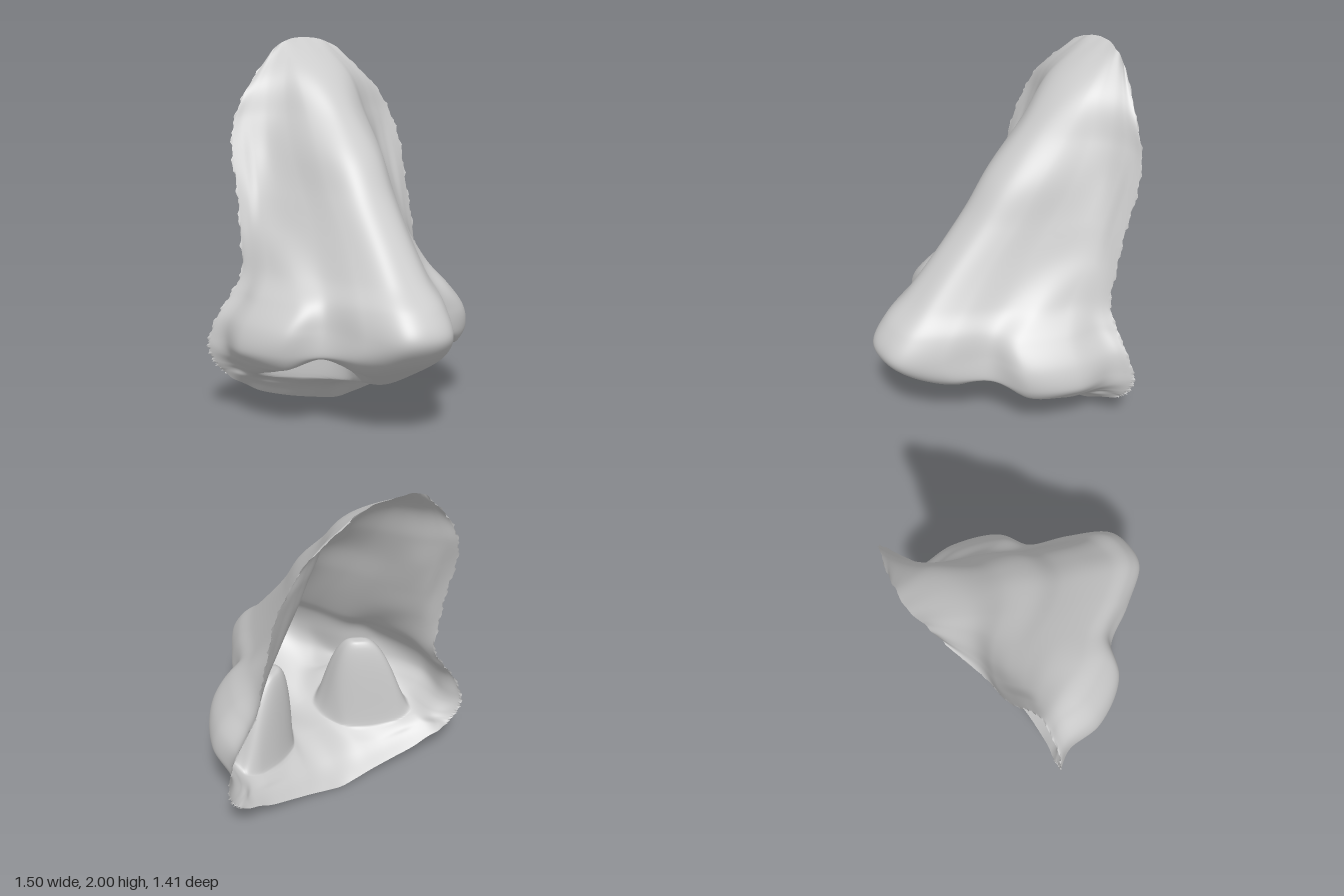
import * as THREE from 'three';

// Upper cross-sections, top to bottom: [y at ridge, drop towards the edge, eight x, eight z]
const bridge = [
  [2.0, 0.08, 0, 0.04, 0.08, 0.11, 0.14, 0.17, 0.2, 0.22, -0.7, -0.7, -0.69, -0.68, -0.68, -0.67, -0.66, -0.66],
  [1.82, 0.09, 0, 0.08, 0.15, 0.21, 0.27, 0.32, 0.36, 0.4, -0.42, -0.43, -0.46, -0.51, -0.55, -0.57, -0.58, -0.59],
  [1.6, 0.03, 0, 0.08, 0.17, 0.25, 0.32, 0.39, 0.44, 0.49, -0.2, -0.22, -0.3, -0.42, -0.49, -0.53, -0.55, -0.56],
  [1.4, 0, 0, 0.1, 0.19, 0.27, 0.34, 0.41, 0.47, 0.53, 0, -0.03, -0.14, -0.31, -0.42, -0.47, -0.49, -0.51],
  [1.2, 0, 0, 0.1, 0.19, 0.27, 0.35, 0.42, 0.48, 0.53, 0.15, 0.12, 0, -0.17, -0.31, -0.39, -0.42, -0.45],
  [1.0, 0, 0, 0.1, 0.19, 0.28, 0.37, 0.44, 0.49, 0.54, 0.33, 0.3, 0.17, -0.02, -0.19, -0.3, -0.36, -0.4],
];
// Tip and wings, same layout
const tip = [
  [0.82, 0.03, 0, 0.11, 0.21, 0.3, 0.41, 0.47, 0.51, 0.55, 0.5, 0.47, 0.32, 0.13, -0.01, -0.17, -0.29, -0.36],
  [0.7, 0.04, 0, 0.13, 0.24, 0.33, 0.46, 0.56, 0.57, 0.62, 0.64, 0.6, 0.43, 0.24, 0.14, -0.09, -0.27, -0.36],
  [0.57, 0.03, 0, 0.14, 0.25, 0.35, 0.54, 0.65, 0.66, 0.7, 0.71, 0.67, 0.49, 0.27, 0.17, -0.07, -0.28, -0.37],
  [0.45, 0.03, 0, 0.14, 0.26, 0.37, 0.57, 0.68, 0.68, 0.74, 0.63, 0.59, 0.46, 0.27, 0.15, -0.07, -0.28, -0.39],
];
// Underside, from the tip back to the lip, as x, y, z triples
const underside = [
  [0, 0.34, 0.46, 0.12, 0.34, 0.43, 0.22, 0.36, 0.37, 0.35, 0.42, 0.24, 0.53, 0.36, 0.13, 0.64, 0.36, -0.08, 0.665, 0.35, -0.27, 0.74, 0.36, -0.39],
  [0, 0.23, 0.25, 0.1, 0.26, 0.25, 0.22, 0.35, 0.24, 0.35, 0.4, 0.17, 0.5, 0.34, 0.08, 0.58, 0.3, -0.08, 0.62, 0.29, -0.27, 0.72, 0.3, -0.38],
  [0, 0.2, 0.02, 0.1, 0.2, 0.02, 0.18, 0.2, -0.06, 0.3, 0.2, -0.13, 0.44, 0.22, -0.18, 0.54, 0.24, -0.21, 0.61, 0.26, -0.3, 0.69, 0.26, -0.37],
  [0, 0.13, -0.16, 0.1, 0.13, -0.16, 0.19, 0.13, -0.19, 0.31, 0.14, -0.22, 0.45, 0.17, -0.25, 0.56, 0.21, -0.28, 0.62, 0.23, -0.33, 0.67, 0.24, -0.37],
  [0, 0.005, -0.28, 0.1, 0.02, -0.28, 0.2, 0.04, -0.28, 0.33, 0.07, -0.29, 0.46, 0.11, -0.31, 0.55, 0.16, -0.33, 0.61, 0.19, -0.35, 0.65, 0.22, -0.36],
];
const OUTER_RIM = bridge.length + tip.length + 1; // the nostrils open between this row and the next
const HALF = 7, COLS = 168;

const smoothCurve = (pts) => new THREE.CatmullRomCurve3(pts, false, 'catmullrom', 0.5);

// Mirrors half a section into a full left-to-right curve
function fullSection(half) {
  const mirrored = half.slice(1).reverse().map((p) => new THREE.Vector3(-p.x, p.y, p.z));
  return smoothCurve([...mirrored, ...half]);
}

function sections() {
  const halfOf = (make) => Array.from({ length: HALF + 1 }, (_, i) => make(i));
  const upper = [...bridge, ...tip].map(([y, drop, ...xz]) =>
    halfOf((i) => new THREE.Vector3(xz[i], y - drop * (i / HALF) ** 2, xz[i + HALF + 1])));
  const lower = underside.map((r) => halfOf((i) => new THREE.Vector3().fromArray(r, i * 3)));
  return [...upper, ...lower].map(fullSection);
}

// Pushes the skin up into a rounded, tapering pocket for each nostril
function pushNostril(p, k, v) {
  const a = Math.abs((k - 3) / 2), b = Math.abs(2 * v - 1);
  const rho = Math.cbrt(a ** 3 + b ** 3);
  if (rho >= 1) return;
  const s = THREE.MathUtils.smoothstep((1 - rho) ** 0.9 * 1.12, 0, 1);
  p.y = THREE.MathUtils.lerp(p.y, 0.74, s);
  p.x -= Math.sign(p.x) * 0.05 * s;
  p.z -= 0.03 * s;
}

function skinGeometry() {
  const curves = sections();
  const last = curves.length - 1;

  // Row positions, finer across the nostrils
  const rows = [];
  for (let i = 0; i < last; i++) {
    const n = i === OUTER_RIM ? 36 : 10;
    for (let j = 0; j < n; j++) rows.push(i + j / n);
  }
  rows.push(last);

  const columns = Array.from({ length: COLS + 1 }, (_, c) =>
    smoothCurve(curves.map((curve) => curve.getPoint(c / COLS))));

  const position = [], index = [];
  rows.forEach((r, i) => {
    columns.forEach((column, c) => {
      const p = column.getPoint(r / last);
      const k = Math.abs(c / COLS * 2 - 1) * HALF;
      if (r > OUTER_RIM && r < OUTER_RIM + 1) pushNostril(p, k, r - OUTER_RIM);
      // The wings and tip sit slightly to one side of the outer edge
      p.x -= 0.005 + 0.018 * (1 - (k / HALF) ** 6) * THREE.MathUtils.smoothstep(r, 2, 7);
      // Slightly ragged outer edge
      if (c === 0 || c === COLS) p.x += 0.006 * Math.sin(r * 9 + c) + 0.005 * Math.sin(r * 23);
      position.push(p.x, p.y, p.z);
      if (i < rows.length - 1 && c < COLS) {
        const q = i * (COLS + 1) + c, d = q + COLS + 1;
        index.push(q, d, q + 1, q + 1, d, d + 1);
      }
    });
  });

  const geometry = new THREE.BufferGeometry();
  geometry.setAttribute('position', new THREE.Float32BufferAttribute(position, 3));
  geometry.setIndex(index);
  geometry.computeVertexNormals();
  return geometry;
}

export function createModel() {
  const group = new THREE.Group();
  group.name = 'nose';
  const material = new THREE.MeshStandardMaterial({ color: 0xcccccc, side: THREE.DoubleSide });
  const skin = new THREE.Mesh(skinGeometry(), material);
  skin.name = 'noseSkinWithNostrils';
  group.add(skin);
  return group;
}
